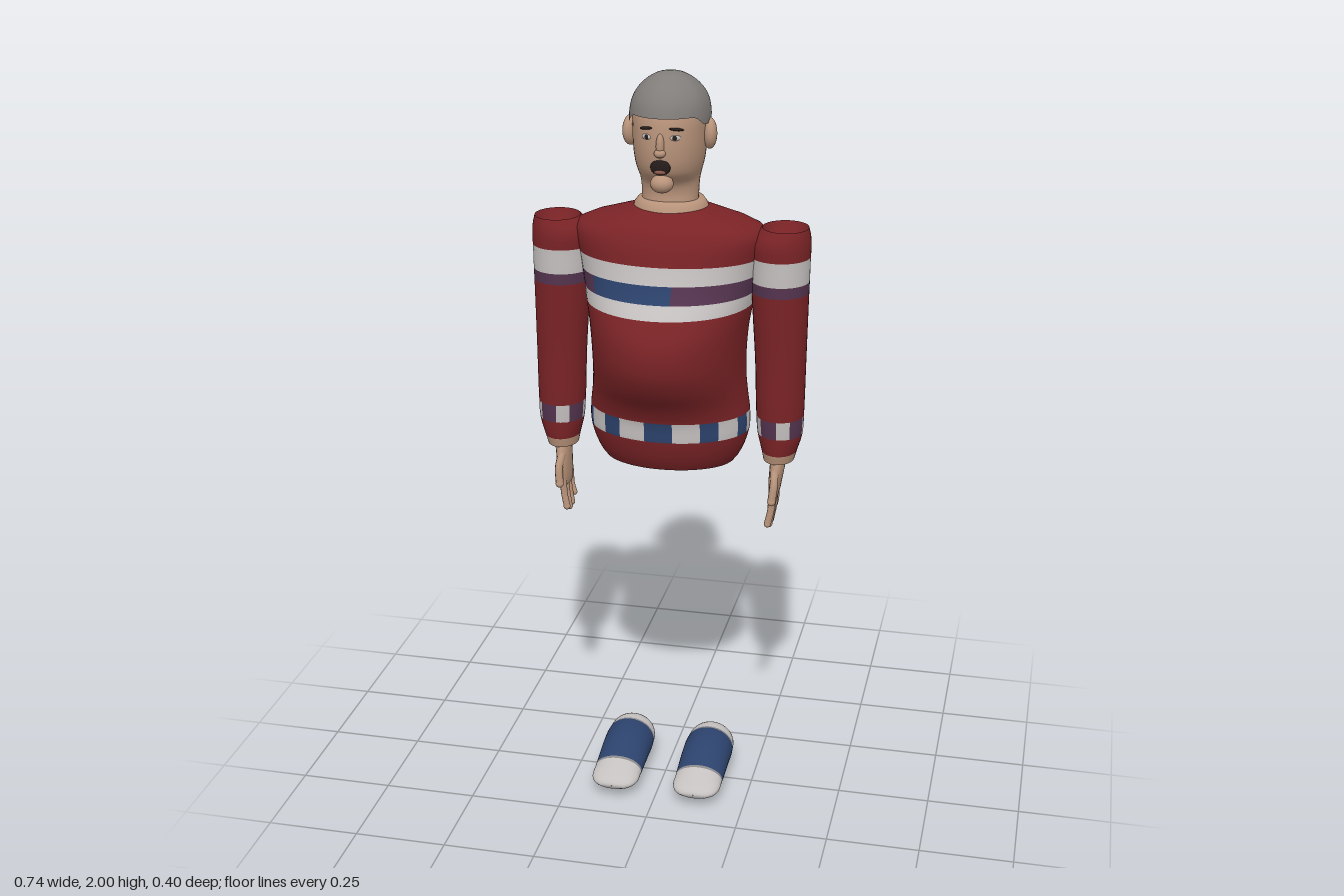
import * as THREE from 'three';

const TAU = Math.PI * 2;
const mat = (name, color) => Object.assign(new THREE.MeshStandardMaterial({ color }), { name });

// Smooth interpolation through rows of [position, ...values]
function profile(rows) {
  const n = rows[0].length - 1;
  const curve = new THREE.CubicInterpolant(
    rows.map(r => r[0]), rows.flatMap(r => r.slice(1)), n, new Float32Array(n));
  return t => [t, ...curve.evaluate(t)];
}

// Even steps plus exact colour boundaries
function steps(a, b, n, breaks = []) {
  const list = Array.from({ length: n + 1 }, (_, i) => a + (b - a) * i / n);
  const free = list.filter((v, i) => i === 0 || i === n || breaks.every(k => Math.abs(k - v) > 0.004));
  return [...free, ...breaks].sort((p, q) => p - q);
}

// Point on a cross-section [y, cx, rx, cz, zFront, zBack]
function ringPoint([y, cx, rx, cz, zf, zb], a) {
  const s = Math.sin(a);
  return [cx + rx * Math.cos(a), y, cz + s * (s > 0 ? zf - cz : cz - zb)];
}

// Closed skin over rows of rings; pick chooses the material of each face
function skinMesh(name, rows, seg, point, materials, pick = () => 0) {
  const pos = [], buckets = materials.map(() => []);
  for (let i = 0; i < rows; i++)
    for (let j = 0; j < seg; j++) pos.push(...point(i, j / seg * TAU));
  for (let i = 0; i < rows - 1; i++)
    for (let j = 0; j < seg; j++) {
      const k = (j + 1) % seg, a = i * seg + j, b = a + seg, c = i * seg + k, d = c + seg;
      buckets[pick(i, (j + 0.5) / seg * TAU)].push(a, b, c, c, b, d);
    }
  const geo = new THREE.BufferGeometry();
  geo.setAttribute('position', new THREE.Float32BufferAttribute(pos, 3));
  geo.setIndex(buckets.flat());
  let start = 0;
  buckets.forEach((b, m) => { geo.addGroup(start, b.length, m); start += b.length; });
  geo.computeVertexNormals();
  const mesh = new THREE.Mesh(geo, materials.length > 1 ? materials : materials[0]);
  mesh.name = name;
  return mesh;
}

function loft(name, rings, seg, materials, pick) {
  return skinMesh(name, rings.length, seg, (i, a) => ringPoint(rings[i], a), materials,
    pick && ((i, a) => pick((rings[i][0] + rings[i + 1][0]) / 2, a)));
}

// Shrinks a ring towards its middle
const shrink = ([y, cx, rx, cz, zf, zb], k, dy = 0) =>
  [y + dy, cx, rx * k, cz, cz + (zf - cz) * k, cz + (zb - cz) * k];

export function createModel() {
  const red = mat('sweater red', 0x7a2326), white = mat('stripe white', 0xc6c1c1);
  const blue = mat('navy blue', 0x2c426c), purple = mat('stripe purple', 0x54344f);
  const skin = mat('skin', 0xb8937a), hairGrey = mat('hair grey', 0x817d7a);
  const dark = mat('dark features', 0x241c1a), trim = mat('shoe trim grey', 0x8a8788);
  const lipTone = mat('lip', 0x8a5a4c);
  const cloth = [red, white, blue, purple, skin];
  const model = new THREE.Group();
  const group = name => { const g = new THREE.Group(); g.name = name; model.add(g); return g; };
  const ball = (parent, name, m, p, r, turn = 0) => {
    const o = new THREE.Mesh(new THREE.SphereGeometry(1, 20, 14), m);
    o.name = name; o.position.set(...p); o.scale.set(...r); o.rotation.y = turn;
    parent.add(o);
    return o;
  };

  // Sweater body with round belly and striped bands
  const body = group('torso');
  const torso = profile([
    [0.96, 0.175, 0.06, -0.183], [0.98, 0.19, 0.073, -0.19], [1.05, 0.215, 0.095, -0.198],
    [1.1, 0.216, 0.1, -0.195], [1.15, 0.21, 0.125, -0.178], [1.2, 0.205, 0.165, -0.158],
    [1.25, 0.204, 0.192, -0.147], [1.3, 0.206, 0.2, -0.145], [1.35, 0.211, 0.192, -0.15],
    [1.4, 0.22, 0.165, -0.165], [1.45, 0.228, 0.133, -0.184], [1.52, 0.24, 0.11, -0.2],
    [1.57, 0.252, 0.098, -0.197], [1.6, 0.25, 0.085, -0.19], [1.62, 0.22, 0.07, -0.18],
    [1.64, 0.145, 0.045, -0.165], [1.657, 0.08, 0.01, -0.15]]);
  const torsoRings = steps(0.96, 1.657, 44, [1.05, 1.105, 1.405, 1.44, 1.485, 1.53]).map(y => {
    const [, rx, zf, zb] = torso(y);
    return [y, 0, rx, -0.06, zf, zb];
  });
  body.add(loft('sweaterBody', torsoRings, 72, cloth, (y, a) => {
    const front = Math.sin(a) > 0, c = Math.cos(a);
    if (y > 1.05 && y < 1.105) return Math.cos(10 * a) > (front ? -0.2 : 0.7) ? 1 : 2;
    if (y > 1.44 && y < 1.485) return front && (c > 0.2 || c < -0.75) ? 3 : 2;
    return y > 1.405 && y < 1.53 ? 1 : 0;
  }));
  body.add(loft('sweaterHem', [shrink(torsoRings[0], 0.001), torsoRings[0]], 72, [red]));

  // Arms, hands and shoes on both sides
  const arm = profile([
    [0.975, 0.298, 0.041, 0.0, -0.105], [1.0, 0.299, 0.047, 0.006, -0.112],
    [1.05, 0.3, 0.06, 0.011, -0.12], [1.1, 0.299, 0.063, 0.015, -0.122],
    [1.25, 0.297, 0.067, 0.016, -0.126], [1.4, 0.293, 0.073, 0.021, -0.131],
    [1.52, 0.291, 0.077, 0.025, -0.134], [1.585, 0.292, 0.076, 0.024, -0.134],
    [1.612, 0.302, 0.06, 0.01, -0.12]]);
  const shoe = profile([
    [-0.12, 0.042, 0.1, 0.025], [-0.11, 0.055, 0.112, 0.012], [-0.06, 0.067, 0.122, 0.002],
    [0, 0.068, 0.118, 0], [0.06, 0.067, 0.098, 0.003], [0.1, 0.066, 0.081, 0.009],
    [0.14, 0.064, 0.066, 0.017], [0.165, 0.05, 0.056, 0.024], [0.175, 0.035, 0.05, 0.03]]);
  for (const s of [1, -1]) {
    const side = s > 0 ? 'left' : 'right';
    const limb = group(side + 'Arm');
    const rings = steps(0.975, 1.612, 34, [1.0, 1.05, 1.1, 1.44, 1.47, 1.535]).map(y => {
      const [, cx, rx, zf, zb] = arm(y);
      return [y, s * cx, rx, -0.055, zf, zb];
    });
    limb.add(loft('sleeve', rings, 32, cloth, (y, a) => {
      if (y < 1.0) return 4;
      if (y > 1.05 && y < 1.1) return Math.cos(5 * a) > 0.3 ? 1 : Math.sin(a) > 0 ? 3 : 2;
      if (y > 1.44 && y < 1.47) return Math.sin(a) > 0 ? 3 : 2;
      return y > 1.47 && y < 1.535 ? 1 : 0;
    }));
    const top = rings[rings.length - 1];
    limb.add(loft('shoulderHollow',
      [[1, 0], [0.85, -0.022], [0.6, -0.038], [0.3, -0.046], [0.01, -0.048]].map(([k, d]) => shrink(top, k, d)),
      32, [red]));
    limb.add(loft('cuffEnd', [shrink(rings[0], 0.01), rings[0]], 32, [skin]));

    // Hand: palm, four fingers and a thumb
    const hand = new THREE.Group();
    hand.name = side + 'Hand';
    limb.add(hand);
    hand.add(loft('palm', [
      [0.855, 0.286, 0.003, -0.044, -0.02, -0.07], [0.862, 0.287, 0.011, -0.044, 0, -0.088],
      [0.89, 0.29, 0.015, -0.044, 0.004, -0.094], [0.925, 0.293, 0.018, -0.045, 0.006, -0.092],
      [0.955, 0.296, 0.02, -0.05, -0.005, -0.09], [0.985, 0.298, 0.023, -0.053, -0.015, -0.09],
    ].map(r => [r[0], s * r[1], ...r.slice(2)]), 20, [skin]));
    const digit = (name, pts, r) => {
      const path = new THREE.CatmullRomCurve3(pts.map(p => new THREE.Vector3(s * p[0], p[1], p[2])));
      const o = new THREE.Mesh(new THREE.TubeGeometry(path, 8, r, 8), skin);
      o.name = name;
      hand.add(o);
      const end = pts[pts.length - 1];
      ball(hand, name + 'Tip', skin, [s * end[0], end[1], end[2]], [r, r, r]);
    };
    [0.8, 0.79, 0.793, 0.812].forEach((tip, i) => {
      const z = -0.008 - i * 0.025;
      digit('finger' + (i + 1), [[0.288, 0.88, z], [0.287, 0.84, z], [0.279, tip, z + 0.003]], 0.0095);
    });
    digit('thumb', [[0.293, 0.95, -0.015], [0.296, 0.92, 0.008], [0.292, 0.875, 0.018]], 0.011);

    // Rounded shoe with white toe and heel
    const zs = steps(-0.12, 0.175, 30, [-0.065, -0.058, 0.09, 0.097]).reverse();
    const shoeRings = [[0.177, 0.001, 0.041, 0.039], ...zs.map(shoe),
      [-0.11, 0.03, 0.09, 0.038], [-0.1, 0.001, 0.064, 0.062]];
    const foot = group(side + 'Foot');
    foot.add(skinMesh(side + 'Shoe', shoeRings.length, 36, (i, a) => {
      const [z, rx, hi, lo] = shoeRings[i];
      return [s * 0.116 + rx * Math.cos(a), (hi + lo) / 2 + (hi - lo) / 2 * Math.sin(a), z];
    }, [blue, white, trim], i => {
      const z = (shoeRings[i][0] + shoeRings[i + 1][0]) / 2;
      if (i >= shoeRings.length - 3) return 2;
      if ((z > -0.065 && z < -0.058) || (z > 0.09 && z < 0.097)) return 2;
      return z > 0.09 || z < -0.06 ? 1 : 0;
    }));
  }

  // Head and neck
  const head = group('head');
  const skull = profile([
    [1.65, 0.073, 0.008, -0.148], [1.7, 0.074, 0.002, -0.145], [1.73, 0.077, 0.016, -0.147],
    [1.748, 0.081, 0.047, -0.149], [1.77, 0.087, 0.06, -0.15], [1.8, 0.092, 0.066, -0.15],
    [1.85, 0.095, 0.066, -0.15], [1.9, 0.094, 0.057, -0.15], [1.95, 0.075, 0.03, -0.13],
    [1.98, 0.03, -0.02, -0.08]]);
  head.add(loft('faceAndNeck', steps(1.65, 1.98, 36).map(y => {
    const [, rx, zf, zb] = skull(y);
    return [y, 0, rx, -0.055, zf, zb];
  }), 48, [skin]));
  head.add(loft('neckBase', [
    [1.64, 0, 0.1, -0.065, 0.028, -0.158], [1.66, 0, 0.095, -0.065, 0.02, -0.153],
    [1.672, 0, 0.085, -0.065, 0.012, -0.15], [1.676, 0, 0.07, -0.065, 0, -0.14]], 40, [skin]));

  // Hair cap with a hairline that drops behind the ears
  const hair = profile([
    [1.77, 0.084, 0.05, -0.155], [1.8, 0.096, 0.06, -0.173], [1.86, 0.102, 0.068, -0.187],
    [1.9, 0.103, 0.065, -0.187], [1.94, 0.093, 0.05, -0.173], [1.97, 0.07, 0.023, -0.142],
    [1.988, 0.045, -0.005, -0.108], [1.996, 0.026, -0.026, -0.082], [2.0, 0.001, -0.052, -0.054]]);
  const rows = 26;
  head.add(skinMesh('hair', rows + 1, 72, (i, a) => {
    const s = Math.sin(a), f = 1 - (1 - i / rows) ** 2;
    const line = 1.775 + 0.1 * THREE.MathUtils.smoothstep(s, -0.5, 0.05)
      + 0.025 * THREE.MathUtils.smoothstep(s, 0.3, 0.7);
    const y = line + (2 - line) * f;
    const [, rx, zf, zb] = hair(y);
    const wave = 1 + 0.012 * Math.sin(9 * a + y * 18) * f;
    return ringPoint(shrink([y, 0, rx, -0.053, zf, zb], wave), a);
  }, [hairGrey]));

  // Face details
  ball(head, 'nose', skin, [0, 1.832, 0.064], [0.011, 0.032, 0.014]);
  ball(head, 'noseTip', skin, [0, 1.815, 0.07], [0.015, 0.011, 0.013]);
  ball(head, 'chin', skin, [0, 1.733, 0.046], [0.03, 0.024, 0.028]);
  ball(head, 'mouth', dark, [0, 1.778, 0.063], [0.026, 0.02, 0.007]);
  ball(head, 'lowerLip', lipTone, [0, 1.767, 0.067], [0.015, 0.006, 0.006]);
  for (const s of [1, -1]) {
    ball(head, 'ear', skin, [s * 0.102, 1.845, -0.055], [0.019, 0.04, 0.033], s * 0.3);
    ball(head, 'eyeWhite', white, [s * 0.037, 1.853, 0.056], [0.014, 0.007, 0.004], s * 0.4);
    ball(head, 'pupil', dark, [s * 0.036, 1.853, 0.059], [0.006, 0.006, 0.003], s * 0.4);
    ball(head, 'eyebrow', dark, [s * 0.039, 1.874, 0.053], [0.019, 0.004, 0.005], s * 0.4)
      .rotation.z = -s * 0.12;
  }
  return model;
}
